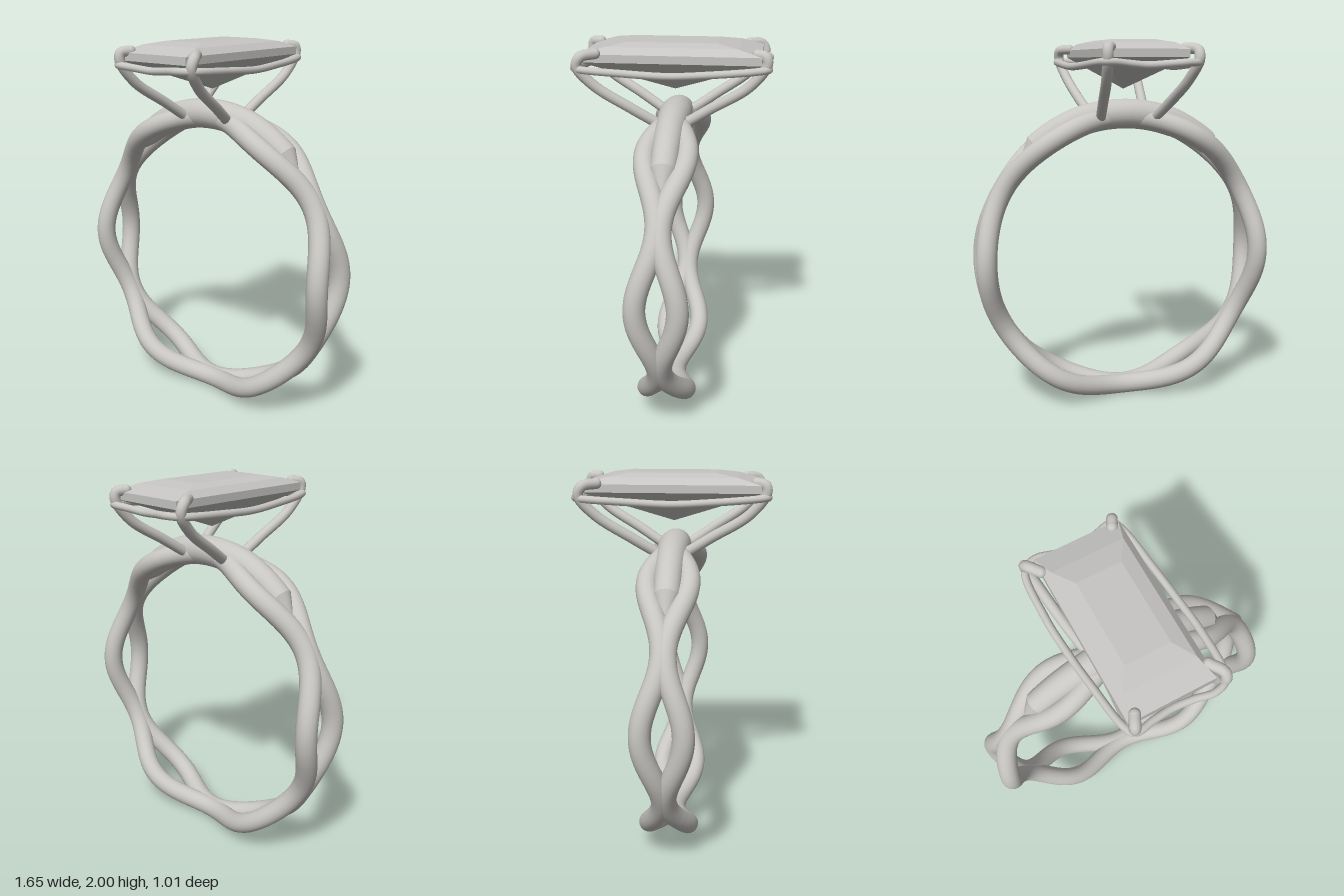
import * as THREE from 'three';

const CENTER_Y = 0.825, BAND_R = 0.77, STRAND_R = 0.055;
const V = (x, y, z) => new THREE.Vector3(x, y, z);
const rad = THREE.MathUtils.degToRad;

// Surface through closed rows of points; outward = (row direction) x (column direction)
function loft(rows, flat) {
  const n = rows[0].length, index = [];
  for (let i = 0; i < rows.length - 1; i++) {
    for (let j = 0; j < n; j++) {
      const k = (j + 1) % n;
      const a = i * n + j, b = a + n, c = i * n + k, d = c + n;
      index.push(a, b, c, b, d, c);
    }
  }
  let geo = new THREE.BufferGeometry().setFromPoints(rows.flat());
  geo.setIndex(index);
  if (flat) geo = geo.toNonIndexed();
  geo.computeVertexNormals();
  return geo;
}

// Elliptical cross-section of the shoulder plate at an angle around the band
function plateSection(deg, rc, hr, hz) {
  const t = rad(deg), pts = [];
  for (let j = 0; j < 24; j++) {
    const p = (j / 24) * Math.PI * 2;
    const r = rc + hr * Math.cos(p);
    pts.push(V(r * Math.cos(t), CENTER_Y + r * Math.sin(t), hz * Math.sin(p)));
  }
  return pts;
}

export function createModel() {
  const model = new THREE.Group();
  const metal = new THREE.MeshStandardMaterial({ color: 0xc8c6c2 });
  metal.name = 'polished metal';
  const gem = new THREE.MeshStandardMaterial({ color: 0xc6c5c3 });
  gem.name = 'pale stone';

  const add = (name, geo, mat, parent = model) => {
    const mesh = new THREE.Mesh(geo, mat);
    mesh.name = name;
    parent.add(mesh);
    return mesh;
  };

  // Two wavy strands that swell apart and pinch together six times
  for (const side of [1, -1]) {
    const pts = [];
    for (let i = 0; i < 72; i++) {
      const t = rad(i * 5);
      const z = side * (0.0575 + 0.0475 * Math.cos(6 * t));
      pts.push(V(BAND_R * Math.cos(t), CENTER_Y + BAND_R * Math.sin(t), z));
    }
    const path = new THREE.CatmullRomCurve3(pts, true);
    add(side > 0 ? 'frontStrand' : 'backStrand', new THREE.TubeGeometry(path, 240, STRAND_R, 20, true), metal);
  }

  // Plate filling the top of the band, with pointed ends
  const body = [];
  for (let d = 52; d <= 128; d += 2) {
    const w = 1 - Math.abs(d - 90) / 38;
    body.push(plateSection(d, 0.786, 0.066 + 0.014 * Math.min(1, w * 2), 0.066 + 0.019 * w));
  }
  add('shoulderPlate', loft(body), metal);
  const tip = (d) => plateSection(d, 0.77, 0.001, 0.001);
  add('leftPlateEnd', loft([tip(41), body[0]]), metal);
  add('rightPlateEnd', loft([body[body.length - 1], tip(139)]), metal);

  // Step-cut stone: half width, half depth, height from point to table
  const levels = [
    [0, 0, 1.745], [0.22, 0.45, 1.91], [0.22, 0.45, 1.95],
    [0.185, 0.335, 1.983], [0.115, 0.225, 2], [0, 0, 2],
  ];
  const corners = [[1, 1], [-1, 1], [-1, -1], [1, -1]];
  const rows = levels.map(([hx, hz, y]) => corners.map(([sx, sz]) => V(sx * hx, y, sz * hz)));
  add('stone', loft(rows, true), gem);

  // Claw prongs: one diagonal pair is repeated by a half turn
  const prongPaths = [
    [V(0.16, 1.59, 0.06), V(0.2, 1.68, 0.2), V(0.24, 1.8, 0.38), V(0.265, 1.9, 0.46),
      V(0.265, 1.945, 0.44), V(0.22, 1.955, 0.375)],
    [V(-0.14, 1.59, 0.06), V(-0.16, 1.68, 0.2), V(-0.187, 1.8, 0.39), V(-0.2, 1.91, 0.475),
      V(-0.198, 1.95, 0.47), V(-0.175, 1.958, 0.425)],
  ];
  for (const turn of [0, Math.PI]) {
    const pair = new THREE.Group();
    pair.name = turn ? 'backProngs' : 'frontProngs';
    pair.rotation.y = turn;
    for (const pts of prongPaths) {
      add('prong', new THREE.TubeGeometry(new THREE.CatmullRomCurve3(pts), 48, 0.027, 14), metal, pair);
      const cap = add('prongTip', new THREE.SphereGeometry(0.027, 16, 12), metal, pair);
      cap.position.copy(pts[pts.length - 1]);
    }
    model.add(pair);
  }

  // Wire rail joining the prongs; the second half is the first turned about y
  const half = [
    V(-0.205, 1.89, 0.482), V(-0.1, 1.88, 0.467), V(0, 1.872, 0.457), V(0.1, 1.878, 0.468),
    V(0.2, 1.885, 0.487), V(0.27, 1.885, 0.455), V(0.295, 1.872, 0.2), V(0.284, 1.862, 0),
    V(0.264, 1.87, -0.2), V(0.235, 1.885, -0.42),
  ];
  const loop = half.concat(half.map((p) => V(-p.x, p.y, -p.z)));
  add('wireRail', new THREE.TubeGeometry(new THREE.CatmullRomCurve3(loop, true), 200, 0.019, 12, true), metal);

  return model;
}
